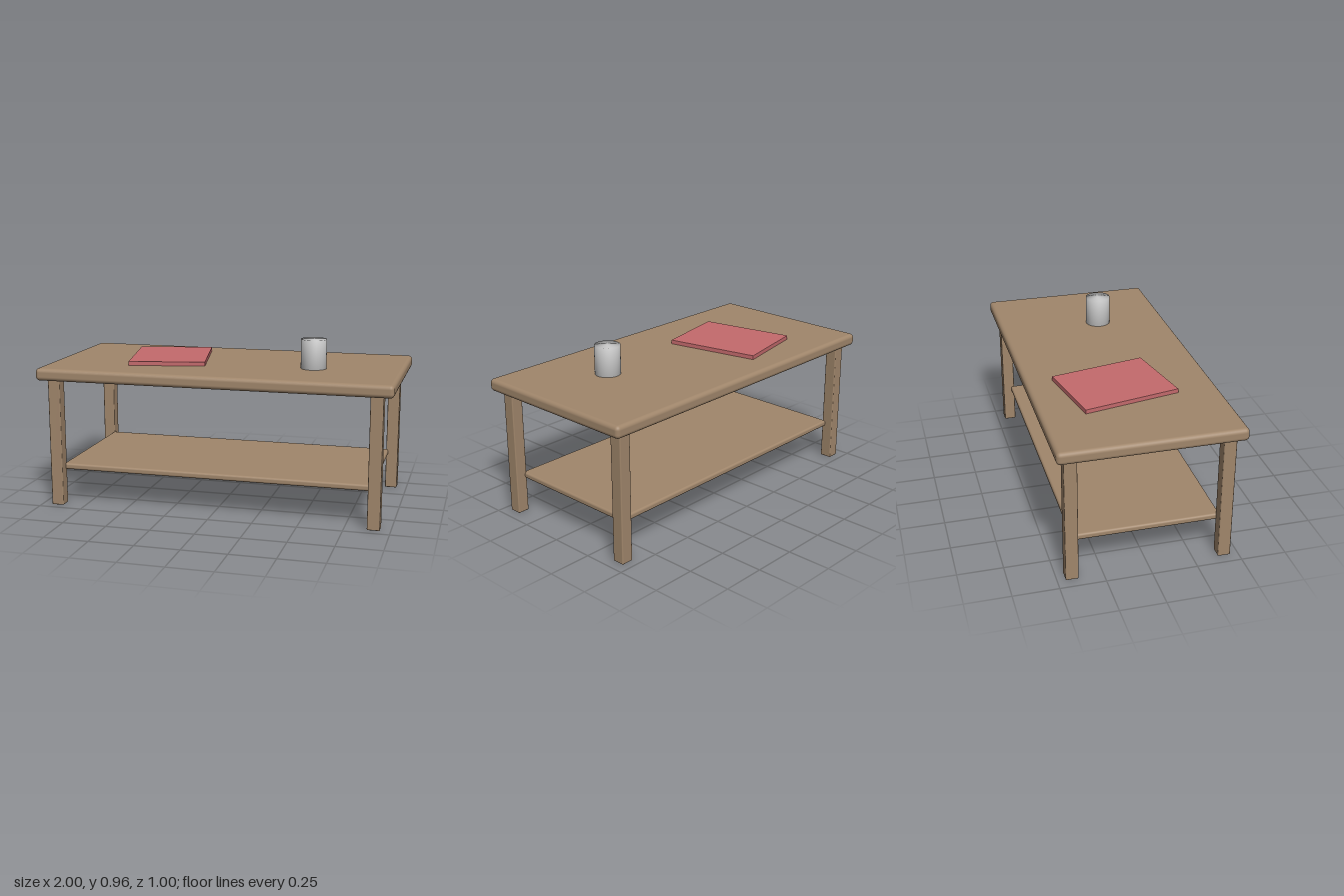
import * as THREE from 'three';
import { RoundedBoxGeometry } from 'three/addons/geometries/RoundedBoxGeometry.js';
import { mergeVertices } from 'three/addons/utils/BufferGeometryUtils.js';

const wood = new THREE.MeshStandardMaterial({ color: 0xa0866b });
const red = new THREE.MeshStandardMaterial({ color: 0xc46a6c });
const grey = new THREE.MeshStandardMaterial({ color: 0xcccccc });

// Wooden board with softened edges, its underside at y
function board(name, w, h, d, radius, x, y, z) {
  const mesh = new THREE.Mesh(new RoundedBoxGeometry(w, h, d, 3, radius), wood);
  mesh.name = name;
  mesh.position.set(x, y + h / 2, z);
  return mesh;
}

export function createModel() {
  const table = new THREE.Group();
  table.name = 'coffeeTable';

  // Table top and lower shelf
  table.add(board('tableTop', 2, 0.07, 1, 0.023, 0, 0.73, 0));
  table.add(board('shelf', 1.77, 0.035, 0.81, 0.012, 0, 0.201, 0));

  // Four square legs
  for (const sx of [1, -1]) {
    for (const sz of [1, -1]) {
      const name = (sz > 0 ? 'front' : 'back') + (sx > 0 ? 'Left' : 'Right') + 'Leg';
      table.add(board(name, 0.07, 0.74, 0.07, 0.006, sx * 0.908, 0, sz * 0.42));
    }
  }

  // Book lying at a slight angle
  const book = new THREE.Mesh(new THREE.BoxGeometry(0.434, 0.023, 0.546), red);
  book.name = 'book';
  book.position.set(-0.367, 0.8115, -0.04);
  book.rotation.y = 0.2;
  table.add(book);

  // Cup: closed cylinder with normals blended over its rims
  let cupShape = new THREE.CylinderGeometry(0.072, 0.072, 0.165, 32);
  cupShape.deleteAttribute('uv');
  cupShape.deleteAttribute('normal');
  cupShape = mergeVertices(cupShape);
  cupShape.computeVertexNormals();
  const cup = new THREE.Mesh(cupShape, grey);
  cup.name = 'cup';
  cup.position.set(0.505, 0.8825, 0.09);
  table.add(cup);

  return table;
}
